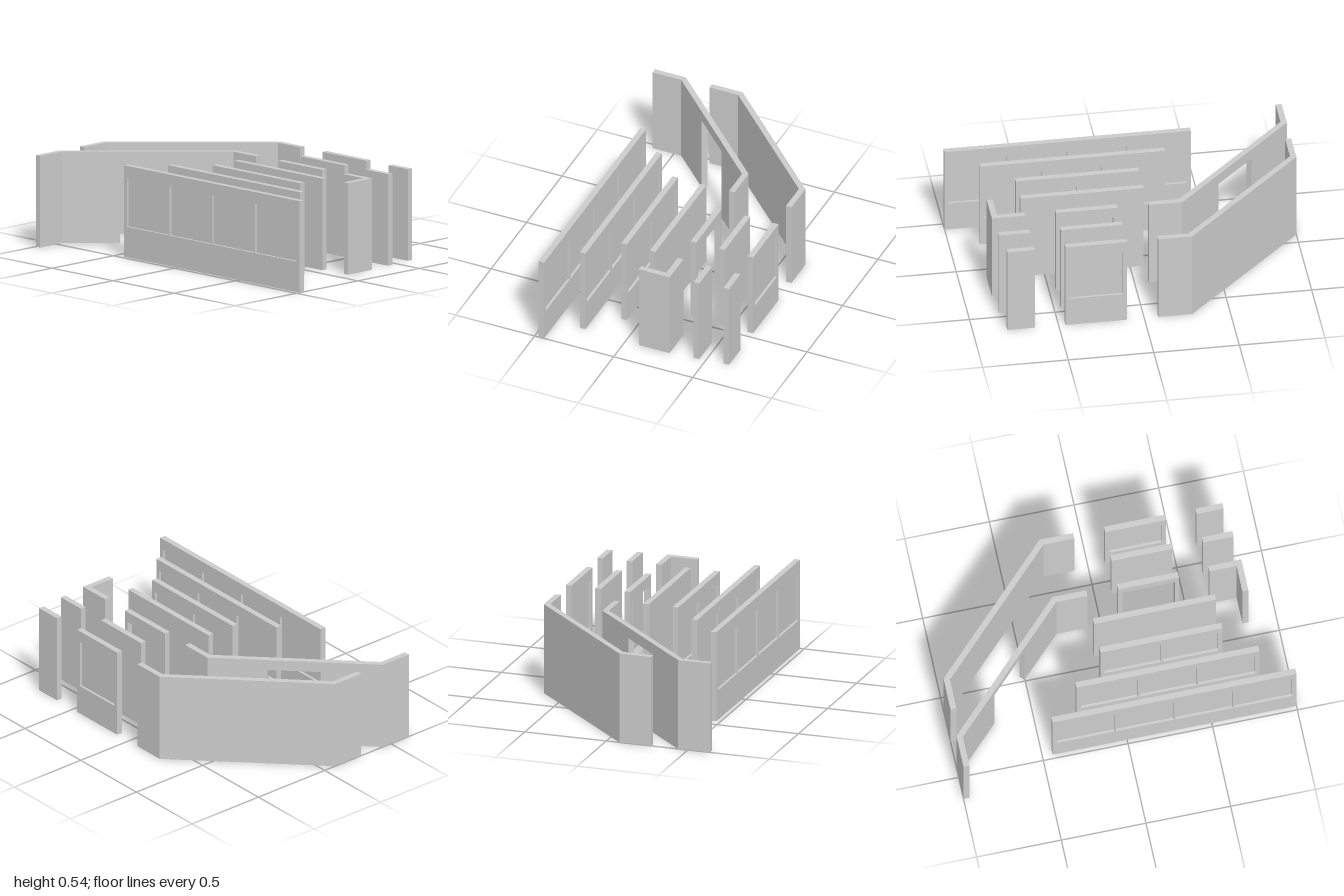
import * as THREE from 'three';

const H = 0.54, T = 0.035;       // wall height and thickness
const MODULE = 0.36;             // one wall module
const MARGIN = 0.025, GAP = 0.01;
const SILL = 0.18, HEAD = 0.47, DOOR = 0.475;

const material = new THREE.MeshStandardMaterial({ color: 0xcccccc, flatShading: true });

function addMesh(parent, name, geometry) {
  const mesh = new THREE.Mesh(geometry, material);
  mesh.name = name;
  parent.add(mesh);
  return mesh;
}

const toShape = (points) => new THREE.Shape(points.map(([x, y]) => new THREE.Vector2(x, y)));
const rect = (x0, x1, y0, y1) => [[x0, y0], [x1, y0], [x1, y1], [x0, y1]];

// Extrudes an elevation outline through the wall thickness, centred on z
function addElevation(parent, name, shape, x, z) {
  const geometry = new THREE.ExtrudeGeometry(shape, { depth: T, bevelEnabled: false });
  geometry.translate(x, 0, z - T / 2);
  addMesh(parent, name, geometry);
}

// Extrudes a plan outline, given as [x, z] points, upwards
function addPlan(parent, name, points, y0 = 0, y1 = H) {
  const shape = toShape(points.map(([x, z]) => [x, -z]));
  const geometry = new THREE.ExtrudeGeometry(shape, { depth: y1 - y0, bevelEnabled: false });
  geometry.rotateX(-Math.PI / 2).translate(0, y0, 0);
  addMesh(parent, name, geometry);
}

function plainWall(parent, name, x0, x1, z) {
  addElevation(parent, name, toShape(rect(0, x1 - x0, 0, H)), x0, z);
}

// Wall with a row of equal windows, each closed by a thin recessed pane
function windowWall(parent, name, x0, count, z) {
  const group = new THREE.Group();
  group.name = name;
  const width = count * MODULE;
  const w = (width - 2 * MARGIN - (count - 1) * GAP) / count;
  const shape = toShape(rect(0, width, 0, H));
  for (let i = 0; i < count; i++) {
    const left = MARGIN + i * (w + GAP);
    shape.holes.push(toShape(rect(left, left + w, SILL, HEAD)));
    const pane = addMesh(group, 'windowPane', new THREE.BoxGeometry(w, HEAD - SILL, 0.005));
    pane.position.set(x0 + left + w / 2, (SILL + HEAD) / 2, z);
  }
  addElevation(group, 'windowFrame', shape, x0, z);
  parent.add(group);
}

// Wall with a doorway open down to the floor
function doorWall(parent, name, x0, z) {
  const a = MARGIN, b = MODULE - MARGIN;
  addElevation(parent, name, toShape([
    [0, 0], [a, 0], [a, DOOR], [b, DOOR], [b, 0], [MODULE, 0], [MODULE, H], [0, H],
  ]), x0, z);
}

export function createModel() {
  const model = new THREE.Group();
  model.name = 'wallSet';

  // Straight walls, front to back
  windowWall(model, 'fourWindowWall', -0.44, 4, 0.458);
  windowWall(model, 'threeWindowWall', -0.26, 3, 0.277);
  windowWall(model, 'twoWindowWall', -0.08, 2, 0.095);
  plainWall(model, 'longPlainWall', -0.08, 0.64, -0.085);
  doorWall(model, 'doorWall', 0.1, -0.263);
  plainWall(model, 'plainWall', 0.1, 0.46, -0.443);
  windowWall(model, 'oneWindowWall', 0.1, 1, -0.623);

  // Short end walls
  plainWall(model, 'halfWall', 0.64, 0.82, -0.443);
  plainWall(model, 'shortWall', 0.64, 0.8, -0.623);

  // Right-angled corner
  addPlan(model, 'cornerWall', [
    [0.64, -0.28], [0.835, -0.28], [0.835, -0.085],
    [0.8, -0.085], [0.8, -0.245], [0.64, -0.245],
  ]);

  // Plain diagonal wall with two straight ends
  const outerEnd = [[-0.965, 0.275], [-1, 0.275], [-1, 0.08]];
  const innerEnd = [[-0.28, -0.64], [-0.082, -0.64], [-0.082, -0.605], [-0.265, -0.605]];
  const bend = [-0.965, 0.094];
  addPlan(model, 'diagonalWall', [...outerEnd, ...innerEnd, bend]);

  // Same wall moved forward, with a doorway in the diagonal
  const shift = (points) => points.map(([x, z]) => [x, z + 0.36]);
  const front = (x) => [x, -0.511 - x];
  const back = (x) => [x - 0.0245, -0.5355 - x];
  const x0 = -0.73, x1 = -0.503;
  const door = new THREE.Group();
  door.name = 'diagonalDoorWall';
  addPlan(door, 'leftSection', [...shift(outerEnd), back(x0), front(x0), ...shift([bend])]);
  addPlan(door, 'rightSection', [back(x1), ...shift(innerEnd), front(x1)]);
  addPlan(door, 'doorLintel', [back(x0), back(x1), front(x1), front(x0)], DOOR, H);
  model.add(door);

  return model;
}
